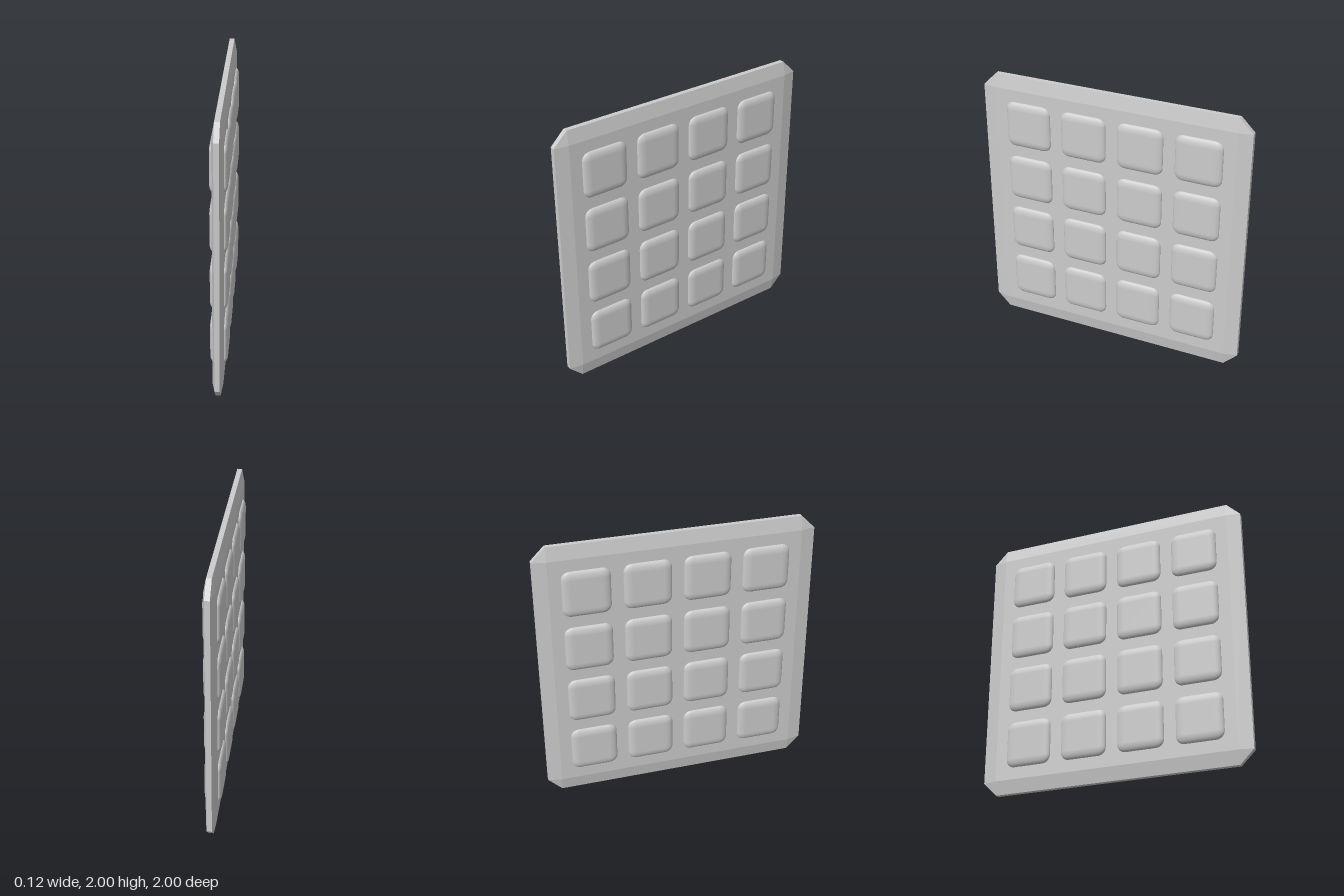
import * as THREE from 'three';
import { RoundedBoxGeometry } from 'three/addons/geometries/RoundedBoxGeometry.js';
import { ConvexGeometry } from 'three/addons/geometries/ConvexGeometry.js';

export function createModel() {
  const model = new THREE.Group();
  model.name = 'keypadPanel';
  const material = new THREE.MeshStandardMaterial({ color: 0xcccccc });

  // Flat slab with bevelled edges and clipped corners
  const half = 1, inner = 0.9, face = 0.037, rim = 0.018;
  const points = [];
  for (const sx of [-1, 1]) for (const sy of [-1, 1]) for (const sz of [-1, 1]) {
    points.push(
      new THREE.Vector3(sx * face, sy * inner, sz * inner),
      new THREE.Vector3(sx * rim, sy * half, sz * inner),
      new THREE.Vector3(sx * rim, sy * inner, sz * half)
    );
  }
  const panel = new THREE.Mesh(new ConvexGeometry(points), material);
  panel.name = 'panel';
  panel.position.y = 1;
  model.add(panel);

  // Soft-edged buttons running through the slab, four by four
  const size = 0.342, pitch = 0.428, squash = 0.45;
  const buttonGeometry = new RoundedBoxGeometry(0.124 / squash, size, size, 4, 0.06);
  buttonGeometry.scale(squash, 1, 1);
  const buttons = new THREE.Group();
  buttons.name = 'buttons';
  for (let row = 0; row < 4; row++) {
    for (let col = 0; col < 4; col++) {
      const button = new THREE.Mesh(buttonGeometry, material);
      button.name = `button${row + 1}_${col + 1}`;
      button.position.set(0, 1 + (row - 1.5) * pitch, (col - 1.5) * pitch);
      buttons.add(button);
    }
  }
  model.add(buttons);
  return model;
}
